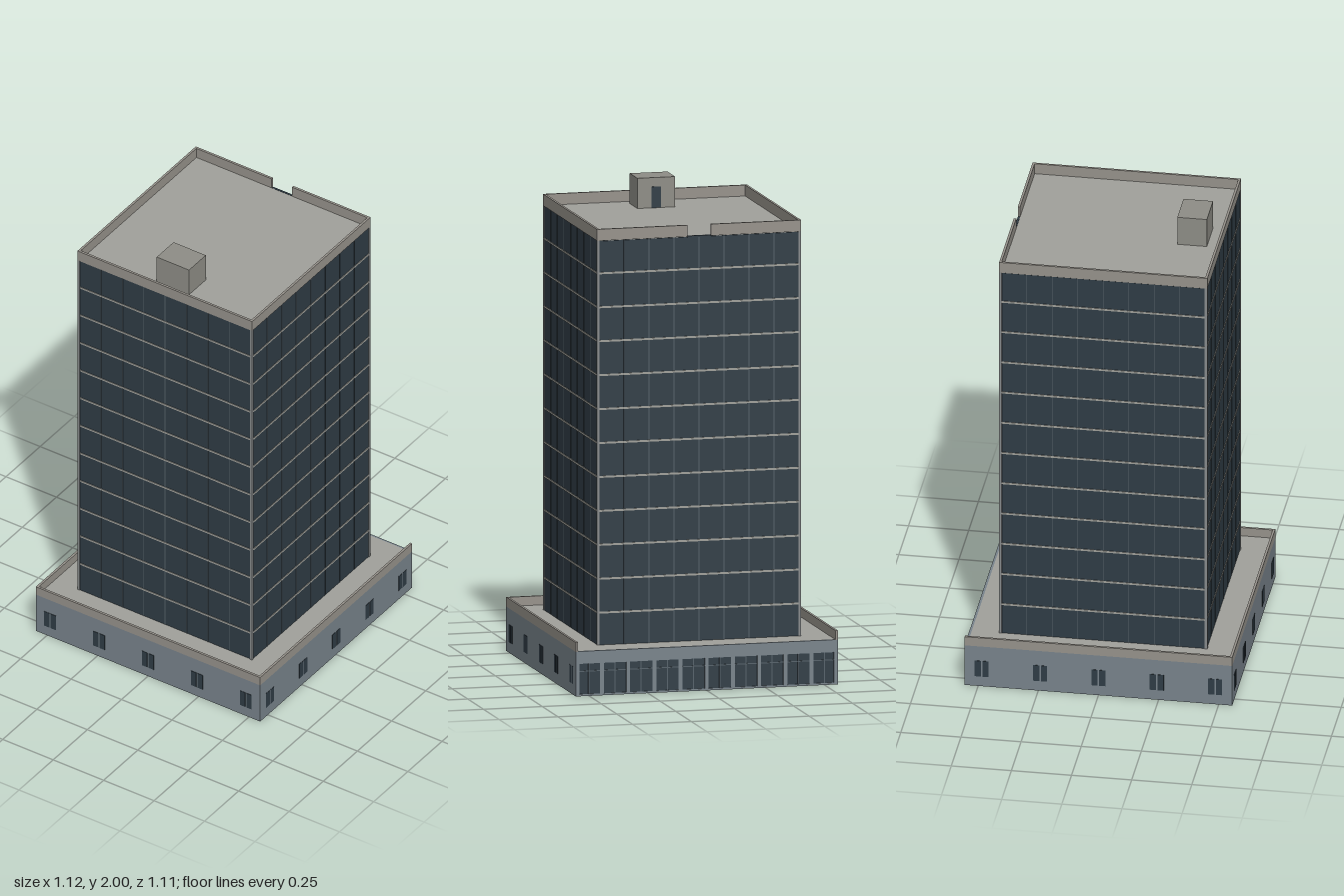
import * as THREE from 'three';

const mat = (color) => new THREE.MeshStandardMaterial({ color });
const M = {
  glass: mat(0x2f3c45), wall: mat(0x78838b), trim: mat(0x96928b),
  roof: mat(0xa0a09a), hut: mat(0x8e8d86), mullion: mat(0x56626a), post: mat(0x888b8c),
};

// Box given by its limits on each axis
function box(parent, name, [x0, x1], [y0, y1], [z0, z1], material) {
  const mesh = new THREE.Mesh(new THREE.BoxGeometry(x1 - x0, y1 - y0, z1 - z0), material);
  mesh.position.set((x0 + x1) / 2, (y0 + y1) / 2, (z0 + z1) / 2);
  mesh.name = name;
  parent.add(mesh);
  return mesh;
}

// Group whose +z side is turned to one of the four faces
function face(parent, name, quarterTurns) {
  const g = new THREE.Group();
  g.name = name;
  g.rotation.y = quarterTurns * Math.PI / 2;
  parent.add(g);
  return g;
}

const P = 0.556, DECK = 0.187, P_TOP = 0.225; // podium half width, deck, parapet top
const T = 0.433, ROOF = 1.874, T_TOP = 1.92;  // tower half width, roof, parapet top
const WALL = 0.01;

function podium() {
  const g = new THREE.Group();
  g.name = 'podium';
  box(g, 'podiumDeck', [-P + 0.008, P - 0.008], [DECK - 0.006, DECK], [-P + 0.008, P - 0.008], M.roof);

  // Three plain walls with paired windows and a parapet
  for (const turn of [0, 1, 3]) {
    const f = face(g, 'podiumSide', turn);
    box(f, 'podiumWall', [-P, P], [0, 0.185], [P - WALL, P], M.wall);
    box(f, 'podiumParapet', [-P, P], [0.185, P_TOP], [P - WALL, P], M.trim);
    for (let i = -2; i <= 2; i++) {
      for (const s of [-1, 1]) {
        const c = i * 0.2425 + s * 0.016;
        box(f, 'podiumWindow', [c - 0.013, c + 0.013], [0.045, 0.118], [P - WALL - 0.001, P + 0.0015], M.glass);
      }
    }
  }

  // Glazed entrance side: fascia, piers and framed panes
  const b = face(g, 'entranceSide', 2);
  const bays = 10, pitch = 2 * P / bays, head = 0.135;
  box(b, 'entranceFascia', [-P, P], [head, DECK], [P - WALL, P], M.wall);
  box(b, 'entranceSill', [-P, P], [0, 0.008], [P - WALL, P], M.wall);
  box(b, 'entranceGlass', [-P + 0.005, P - 0.005], [0.008, head], [P - 0.008, P - 0.004], M.glass);
  for (let i = 0; i <= bays; i++) {
    const c = THREE.MathUtils.clamp(-P + i * pitch, -P + 0.008, P - 0.008);
    box(b, 'entrancePier', [c - 0.008, c + 0.008], [0, head], [P - WALL, P], M.wall);
    if (i < bays) {
      const m = -P + (i + 0.5) * pitch;
      box(b, 'entranceMullion', [m - 0.002, m + 0.002], [0, head], [P - 0.009, P - 0.002], M.mullion);
    }
  }
  box(b, 'entranceTransom', [-P + 0.005, P - 0.005], [0.101, 0.105], [P - 0.009, P - 0.002], M.mullion);
  return g;
}

function tower() {
  const g = new THREE.Group();
  g.name = 'tower';
  const G = T - 0.003;
  box(g, 'towerGlass', [-G, G], [DECK, ROOF - 0.004], [-G, G], M.glass);
  box(g, 'towerRoof', [-T + 0.008, T - 0.008], [ROOF - 0.004, ROOF], [-T + 0.008, T - 0.008], M.roof);

  for (let turn = 0; turn < 4; turn++) {
    const f = face(g, 'curtainWall', turn);
    // Floor bands and vertical mullions
    for (let i = 0; i < 11; i++) {
      const y = 0.322 + i * 0.1414;
      box(f, 'floorBand', [-T + 0.01, T - 0.01], [y - 0.004, y + 0.004], [G - 0.004, T - 0.0005], M.roof);
    }
    for (let i = -3; i <= 3; i++) {
      const x = i * 0.106;
      box(f, 'mullion', [x - 0.0015, x + 0.0015], [DECK, ROOF], [G - 0.004, T - 0.0015], M.mullion);
    }
    box(f, 'cornerPost', [T - 0.011, T], [DECK, ROOF], [T - 0.011, T], M.post);

    // Roof parapet, with a gap in the middle of the back
    const runs = turn === 2 ? [[-T, -0.05], [0.05, T]] : [[-T, T]];
    for (const run of runs) box(f, 'roofParapet', run, [ROOF - 0.002, T_TOP], [T - WALL, T], M.trim);
    if (turn === 2) box(f, 'parapetGapSill', [-0.05, 0.05], [ROOF - 0.006, ROOF + 0.001], [T - WALL, T - 0.001], M.glass);
  }
  return g;
}

function roofHut() {
  const g = new THREE.Group();
  g.name = 'roofHut';
  box(g, 'hutBody', [-0.08, 0.08], [ROOF, 2], [0.251, 0.374], M.hut);
  box(g, 'hutDoor', [-0.02, 0.02], [ROOF, ROOF + 0.088], [0.249, 0.253], M.glass);
  return g;
}

export function createModel() {
  const model = new THREE.Group();
  model.name = 'officeTower';
  model.add(podium(), tower(), roofHut());
  return model;
}
